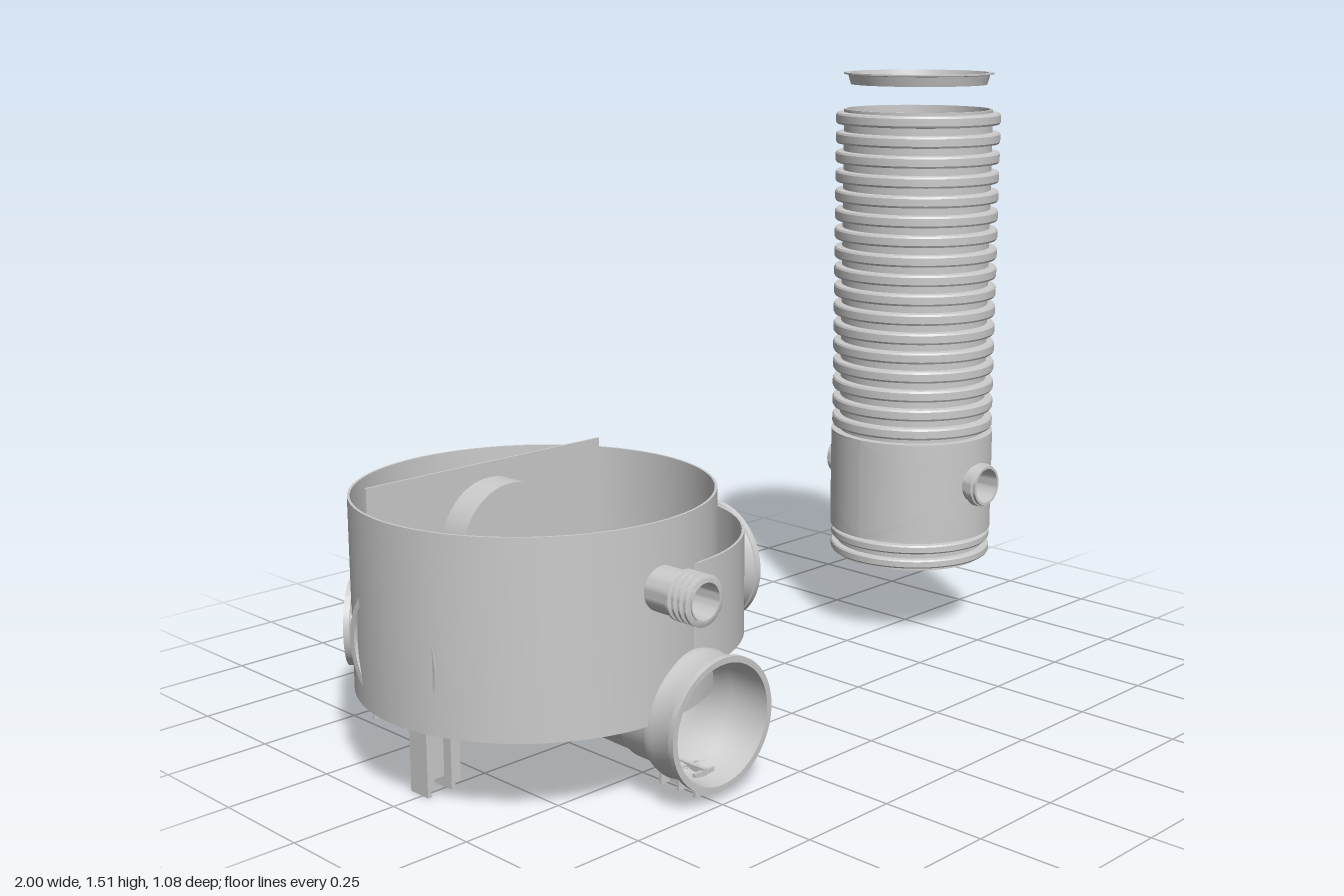
import * as THREE from 'three';
import { toCreasedNormals } from 'three/addons/utils/BufferGeometryUtils.js';

const grey = new THREE.MeshStandardMaterial({ color: 0xcccccc, side: THREE.DoubleSide });
const BASE_X = -0.48, BASE_R = 0.395, TANK_X = -0.59, TANK_R = 0.41, RISER_X = 0.776;
const FLOOR = 0.27, WALL_Z = -0.16, PIPE_Y = 0.487;

function part(parent, name, geometry, x = 0, y = 0, z = 0) {
  const mesh = new THREE.Mesh(geometry, grey);
  mesh.name = name;
  mesh.position.set(x, y, z);
  parent.add(mesh);
  return mesh;
}

function lathe(points, segments = 64) {
  const pts = points.map(([r, h]) => new THREE.Vector2(r, h));
  return toCreasedNormals(new THREE.LatheGeometry(pts, segments), 0.5);
}

// Turn a lathed part so that its axis runs from start along direction
function along(parent, name, geometry, start, direction) {
  const mesh = part(parent, name, geometry, ...start);
  mesh.quaternion.setFromUnitVectors(new THREE.Vector3(0, 1, 0), new THREE.Vector3(...direction).normalize());
  return mesh;
}

// Pipe ending in a collared socket
function socket(r, R, length, collar = 0.1) {
  const L = length, m = (r + R) / 2 + 0.003;
  return lathe([[r, 0], [r, L - collar - 0.015], [m, L - collar], [R - 0.005, L - collar + 0.012],
    [m, L - collar + 0.024], [m, L - 0.035], [R - 0.004, L - 0.016], [R, L - 0.014], [R, L],
    [R - 0.014, L], [r, L - collar], [r - 0.008, L - collar - 0.015], [r - 0.008, 0]]);
}

// Outline of evenly spaced square ribs from height a to height b
function ribs(a, b, count, valley, crest) {
  const pts = [[valley, a]], pitch = (b - a) / count;
  for (let i = 0; i < count; i++) {
    const y = a + i * pitch;
    pts.push([valley, y + pitch * 0.22], [crest - 0.003, y + pitch * 0.25], [crest, y + pitch * 0.35],
      [crest, y + pitch * 0.72], [crest - 0.003, y + pitch * 0.82], [valley, y + pitch * 0.85]);
  }
  pts.push([valley, b]);
  return pts;
}

// Half a cylinder wall facing +z with a round hole, height range a to b
function holedHalf(radius, a, b, holeY, holeR) {
  const side = 20, rings = 16, n = side * 4, w = Math.PI / 2 * radius, pos = [], index = [];
  const corners = [[-w, a - holeY], [w, a - holeY], [w, b - holeY], [-w, b - holeY]];
  for (let j = 0; j <= rings; j++) {
    for (let i = 0; i <= n; i++) {
      const k = Math.floor(i / side) % 4, f = (i % side) / side;
      const p = corners[k], q = corners[(k + 1) % 4];
      const px = p[0] + (q[0] - p[0]) * f, py = p[1] + (q[1] - p[1]) * f;
      const len = Math.hypot(px, py), t = j / rings;
      const u = px * (holeR / len * (1 - t) + t), v = py * (holeR / len * (1 - t) + t);
      pos.push(radius * Math.sin(u / radius), holeY + v, radius * Math.cos(u / radius));
      if (j < rings && i < n) {
        const s = j * (n + 1) + i;
        index.push(s, s + n + 1, s + 1, s + 1, s + n + 1, s + n + 2);
      }
    }
  }
  const g = new THREE.BufferGeometry();
  g.setAttribute('position', new THREE.Float32BufferAttribute(pos, 3));
  g.setIndex(index);
  g.computeVertexNormals();
  return g;
}

// Height of the chamber floor with its main channel and two curved branches
const branch = new THREE.QuadraticBezierCurve(new THREE.Vector2(0.42, -0.015),
  new THREE.Vector2(0.2, 0), new THREE.Vector2(0, 0.3)).getPoints(40);
function floorHeight(x, z) {
  if (z < WALL_Z) return FLOOR;
  let y = FLOOR;
  const r = 0.128;
  if (Math.abs(x) < r - 1e-4) y = Math.min(y, 0.1875 - 0.025 * z - Math.sqrt(r * r - x * x));
  branch.forEach((p, i) => {
    const d = Math.hypot(Math.abs(x) - p.x, z - p.y);
    if (d < 0.125) y = Math.min(y, 0.335 - 0.135 * i / 40 - Math.sqrt(0.125 ** 2 - d * d));
  });
  return y;
}

function floorGeometry() {
  const rows = 90, flank = 32, mid = 24, cols = flank * 2 + mid, pos = [], index = [];
  for (let j = 0; j <= rows; j++) {
    const z = -BASE_R * Math.cos(Math.PI * j / rows);
    const w = Math.sqrt(Math.max(0, BASE_R ** 2 - z * z)), a = Math.min(0.128, w);
    for (let i = 0; i <= cols; i++) {
      let x;
      if (i < flank) x = -w + (w - a) * i / flank;
      else if (i <= flank + mid) x = -a * Math.cos(Math.PI * (i - flank) / mid);
      else x = a + (w - a) * (i - flank - mid) / flank;
      pos.push(x, floorHeight(x, z), z);
      if (i < cols && j < rows) {
        const s = j * (cols + 1) + i, t = s + cols + 1;
        index.push(s, t, s + 1, s + 1, t, t + 1);
      }
    }
  }
  const g = new THREE.BufferGeometry();
  g.setAttribute('position', new THREE.Float32BufferAttribute(pos, 3));
  g.setIndex(index);
  return toCreasedNormals(g, 0.6);
}

function plate(points, depth) {
  const shape = new THREE.Shape(points.map(([x, y]) => new THREE.Vector2(x, y)));
  return new THREE.ExtrudeGeometry(shape, { depth, bevelEnabled: false }).translate(0, 0, -depth / 2);
}

function buildChamber() {
  const g = new THREE.Group();
  g.name = 'inspectionChamber';
  // Walls and floor
  part(g, 'upperWall', lathe([[TANK_R, 0.19], [TANK_R, 0.633], [TANK_R - 0.006, 0.633], [TANK_R - 0.006, 0.19], [TANK_R, 0.19]], 96), TANK_X);
  part(g, 'baseWall', lathe([[BASE_R, FLOOR], [BASE_R, 0.513], [BASE_R - 0.006, 0.513], [BASE_R - 0.006, FLOOR]], 96), BASE_X);
  part(g, 'channelFloor', floorGeometry(), BASE_X);
  // Partition notched over the main channel
  part(g, 'partition', plate([[-0.93, 0.135], [-0.61, 0.135], [-0.61, 0.3], [-0.355, 0.3],
    [-0.355, 0.135], [-0.25, 0.135], [-0.25, 0.663], [-0.93, 0.663]], 0.006), 0, 0, WALL_Z);

  // Main pipe, falling gently to the front
  along(g, 'frontOutlet', socket(0.13, 0.152, 0.19), [BASE_X - 0.007, 0.18, 0.3], [0, -0.025, 1]);
  along(g, 'backInlet', socket(0.13, 0.152, 0.35), [BASE_X - 0.007, 0.191, WALL_Z], [0, 0.025, -1]);
  // Side and diagonal inlets
  for (const s of [-1, 1]) {
    along(g, 'sideInlet', socket(0.125, 0.15, 0.175), [BASE_X - 0.005 + s * 0.32, 0.335, -0.015], [s, 0, 0]);
    along(g, 'diagonalInlet', socket(0.083, 0.1, 0.27, 0.075), [BASE_X - 0.01 + s * 0.155, 0.29, -0.18], [s, 0, -1]);
  }

  // Small ribbed connections front and back, and the round unit they feed
  const spigot = lathe([[0.05, 0], [0.05, 0.115], ...ribs(0.115, 0.185, 4, 0.043, 0.056), [0.04, 0.185], [0.04, 0]], 40);
  along(g, 'frontSpigot', spigot, [TANK_X, PIPE_Y, 0.355], [0, 0, 1]);
  along(g, 'backSpigot', spigot, [TANK_X, PIPE_Y, -0.355], [0, 0, -1]);
  along(g, 'innerRibbedHose', lathe(ribs(0, 0.195, 10, 0.042, 0.052), 40), [TANK_X, PIPE_Y, WALL_Z], [0, 0, -1]);
  along(g, 'roundUnit', new THREE.CylinderGeometry(0.14, 0.14, 0.08, 64), [TANK_X, PIPE_Y, -0.12], [0, 0, 1]);

  // Side legs: notched web with a crossing flange
  for (const s of [-1, 1]) {
    const x = BASE_X - 0.008 + s * 0.38;
    part(g, 'legWeb', plate([[-0.055, 0], [-0.018, 0], [-0.018, 0.025], [0.018, 0.025], [0.018, 0],
      [0.055, 0], [0.055, 0.25], [-0.055, 0.25]], 0.008), x, 0, -0.01);
    part(g, 'legFlange', new THREE.BoxGeometry(0.01, 0.2, 0.06), x - s * 0.015, 0.1, -0.01);
    part(g, 'legFlange', new THREE.BoxGeometry(0.01, 0.2, 0.06), x + s * 0.05, 0.1, -0.01);
  }
  // Feet beneath the pipe ends
  for (const s of [-1, 1]) {
    part(g, 'pipeFoot', new THREE.BoxGeometry(0.01, 0.06, 0.11), BASE_X - 0.007, 0.03, s * 0.38);
    for (const z of [0.325, 0.38, 0.43])
      part(g, 'pipeFootRib', new THREE.BoxGeometry(0.06, 0.055, 0.008), BASE_X - 0.007, 0.0275, s * z);
  }
  return g;
}

function buildRiser() {
  const g = new THREE.Group();
  g.name = 'riser';
  g.position.set(RISER_X, 0, -0.012);
  // Corrugated shaft above and below the sleeve
  part(g, 'corrugatedShaft', lathe([[0.19, 0.545], ...ribs(0.545, 1.413, 17, 0.197, 0.218), [0.19, 1.413], [0.19, 0.545]], 80));
  part(g, 'shaftFoot', lathe([[0, 0.195], ...ribs(0.195, 0.275, 2, 0.2, 0.218), [0.19, 0.275], [0.19, 0.2], [0, 0.2]], 80));
  // Sleeve pierced on both sides
  part(g, 'sleeveEdge', lathe([[0.19, 0.545], [0.22, 0.545]], 80));
  part(g, 'sleeveEdge', lathe([[0.19, 0.275], [0.22, 0.275]], 80));
  const outer = holedHalf(0.22, 0.275, 0.545, 0.425, 0.05);
  const inner = holedHalf(0.19, 0.275, 0.545, 0.425, 0.05);
  for (const s of [1, -1]) {
    for (const geometry of [outer, inner]) part(g, 'sleeve', geometry).rotation.y = s > 0 ? 0 : Math.PI;
    along(g, 'sideConnector', lathe([[0.05, 0], [0.05, 0.043], [0.058, 0.045], [0.058, 0.062],
      [0.053, 0.064], [0.053, 0.072], [0.046, 0.072], [0.046, 0]], 40), [0, 0.425, s * 0.187], [0, 0, s]);
  }
  // Loose dished ring over the shaft
  part(g, 'topRing', lathe([[0.103, 1.478], [0.18, 1.478], [0.187, 1.503], [0.198, 1.505], [0.198, 1.509],
    [0.183, 1.509], [0.176, 1.483], [0.103, 1.483], [0.103, 1.478]], 80));
  return g;
}

export function createModel() {
  const model = new THREE.Group();
  model.name = 'drainageChamberAndRiser';
  model.add(buildChamber(), buildRiser());
  return model;
}
